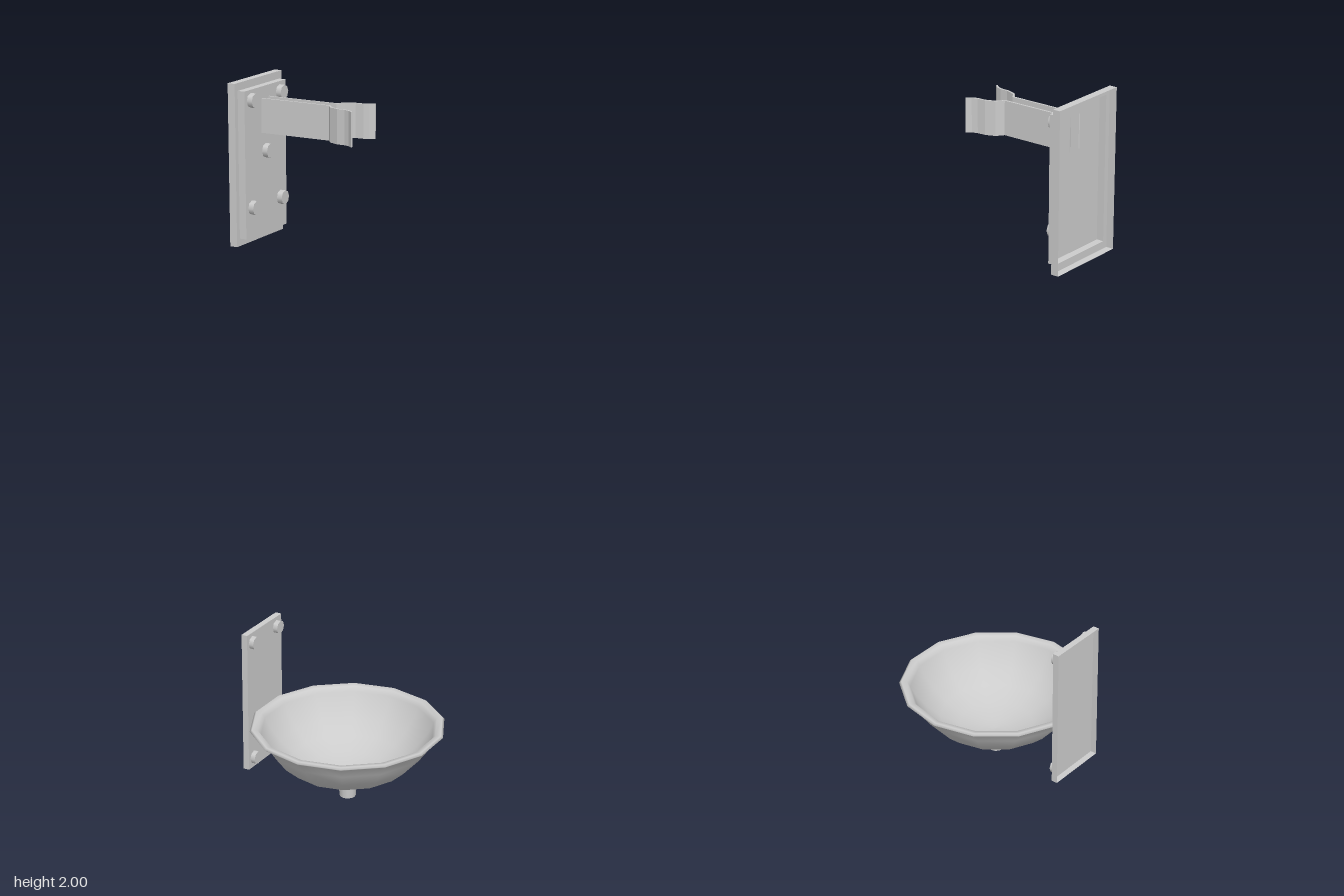
import * as THREE from 'three';

const grey = new THREE.MeshStandardMaterial({ color: 0xcccccc, side: THREE.DoubleSide });
const greyFlat = new THREE.MeshStandardMaterial({ color: 0xcccccc, side: THREE.DoubleSide, flatShading: true });

function add(parent, name, geometry, material = grey) {
  const mesh = new THREE.Mesh(geometry, material);
  mesh.name = name;
  parent.add(mesh);
  return mesh;
}

// Pressed plate, open at the back: rectangular rings [x, halfHeight, halfWidth], capped in front
function pressedPlate(rings, yMid) {
  const pos = [], idx = [];
  for (const [x, h, w] of rings) {
    pos.push(x, yMid - h, w, x, yMid - h, -w, x, yMid + h, -w, x, yMid + h, w);
  }
  for (let r = 0; r < rings.length - 1; r++) {
    for (let i = 0; i < 4; i++) {
      const a = r * 4 + i, b = r * 4 + (i + 1) % 4;
      idx.push(a, b, b + 4, a, b + 4, a + 4);
    }
  }
  const c = (rings.length - 1) * 4;
  idx.push(c, c + 1, c + 2, c, c + 2, c + 3);
  const indexed = new THREE.BufferGeometry();
  indexed.setAttribute('position', new THREE.Float32BufferAttribute(pos, 3));
  indexed.setIndex(idx);
  const geometry = indexed.toNonIndexed();
  geometry.computeVertexNormals();
  return geometry;
}

// Bolt heads standing out from a plate along +x
function addBolts(parent, x, length, places) {
  for (const [y, z] of places) {
    const bolt = add(parent, 'bolt', new THREE.CylinderGeometry(0.019, 0.019, length, 8));
    bolt.rotation.z = -Math.PI / 2;
    bolt.position.set(x + length / 2, y, z);
  }
}

export function createModel() {
  const model = new THREE.Group();
  model.name = 'wallBowlWithClip';

  // Upper bracket: stepped plate with five bolts
  const upper = new THREE.Group();
  upper.name = 'upperBracket';
  model.add(upper);
  add(upper, 'upperPlate', pressedPlate([
    [-0.278, 0.213, 0.115], [-0.257, 0.213, 0.115],
    [-0.257, 0.193, 0.101], [-0.237, 0.193, 0.101],
  ], 1.787), greyFlat);
  addBolts(upper, -0.237, 0.015, [
    [1.953, 0.071], [1.953, -0.071], [1.811, 0], [1.673, 0.071], [1.673, -0.071],
  ]);

  // Clip: two mirrored spring strips flaring at the tip
  const path = [[-0.237, 0.017], [-0.034, 0.017], [-0.02, 0.036], [0.006, 0.046],
    [0.028, 0.047], [0.043, 0.052], [0.055, 0.062]];
  const t = 0.0025;
  for (const side of [1, -1]) {
    const outer = path.map(([x, z]) => new THREE.Vector2(x - t * 0.4, -side * (z + t)));
    const inner = path.map(([x, z]) => new THREE.Vector2(x + t * 0.4, -side * (z - t)));
    const shape = new THREE.Shape([...outer, ...inner.reverse()]);
    const strip = add(upper, side > 0 ? 'leftClipStrip' : 'rightClipStrip',
      new THREE.ExtrudeGeometry(shape, { depth: 0.09, bevelEnabled: false }));
    strip.rotation.x = -Math.PI / 2;
    strip.position.y = 1.86;
  }

  // Lower bracket: plain plate with four corner bolts
  const lower = new THREE.Group();
  lower.name = 'lowerBracket';
  model.add(lower);
  add(lower, 'lowerPlate', pressedPlate([
    [-0.278, 0.206, 0.091], [-0.26, 0.206, 0.091],
  ], 0.256), greyFlat);
  addBolts(lower, -0.26, 0.014, [
    [0.433, 0.064], [0.433, -0.064], [0.08, 0.064], [0.08, -0.064],
  ]);

  // Bowl: fourteen-sided thin dish with a rolled lip
  const profile = [
    [0, 0.054], [0.04, 0.056], [0.11, 0.073], [0.165, 0.1], [0.205, 0.135],
    [0.235, 0.175], [0.248, 0.207], [0.268, 0.211], [0.274, 0.216], [0.268, 0.221],
    [0.252, 0.219], [0.243, 0.205], [0.229, 0.178], [0.199, 0.14], [0.16, 0.107],
    [0.107, 0.08], [0.04, 0.064], [0, 0.062],
  ].map(([r, y]) => new THREE.Vector2(r, y));
  const bowl = add(model, 'bowl', new THREE.LatheGeometry(profile, 14));
  bowl.position.x = 0.009;

  // Drain stub under the bowl
  const drain = add(model, 'drain', new THREE.CylinderGeometry(0.026, 0.023, 0.06, 12));
  drain.position.set(0.009, 0.03, 0);

  return model;
}
